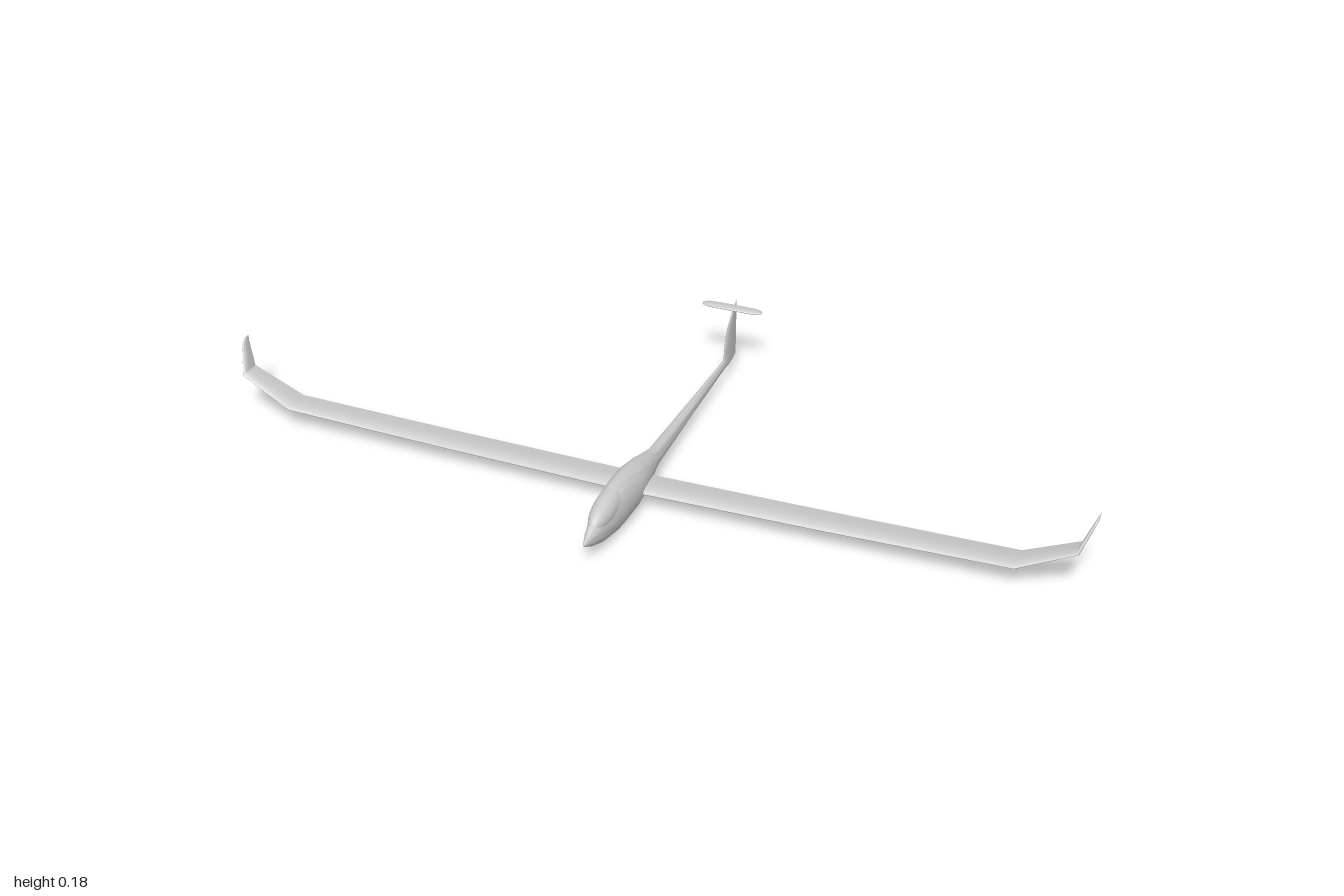
import * as THREE from 'three';
import { toCreasedNormals } from 'three/addons/utils/BufferGeometryUtils.js';

const material = new THREE.MeshStandardMaterial({ color: 0xcccccc });

// Skin over a row of equal-sized rings, closed at both ends
function loft(rings, crease = 0.6) {
  const n = rings[0].length, last = rings.length - 1;
  const points = rings.flat(), index = [];
  for (let i = 0; i < last; i++) {
    for (let j = 0; j < n; j++) {
      const a = i * n + j, b = i * n + (j + 1) % n;
      index.push(a, b, b + n, a, b + n, a + n);
    }
  }
  [0, last].forEach((r) => {
    const centre = new THREE.Vector3();
    rings[r].forEach((p) => centre.addScaledVector(p, 1 / n));
    const c = points.push(centre) - 1;
    for (let j = 0; j < n; j++) {
      const a = r * n + j, b = r * n + (j + 1) % n;
      if (r === 0) index.push(c, b, a);
      else index.push(c, a, b);
    }
  });
  const geometry = new THREE.BufferGeometry().setFromPoints(points);
  geometry.setIndex(index);
  return toCreasedNormals(geometry, crease);
}

// Aerofoil outlines: [chord fraction from the leading edge, relative thickness]
const cambered = [[1, 0], [0.75, 0.45], [0.5, 0.8], [0.28, 1], [0.1, 0.75], [0.02, 0.3],
  [0, 0], [0.02, -0.25], [0.1, -0.5], [0.3, -0.65], [0.65, -0.35]];
const symmetric = [[1, 0], [0.75, 0.5], [0.5, 0.85], [0.28, 1], [0.1, 0.7], [0.02, 0.3],
  [0, 0], [0.02, -0.3], [0.1, -0.7], [0.28, -1], [0.5, -0.85], [0.75, -0.5]];

// One aerofoil ring; bank is the slope of the span in degrees
function foil(outline, [x, y, lead, trail, thick, bank]) {
  const a = THREE.MathUtils.degToRad(bank);
  return outline.map(([s, t]) => new THREE.Vector3(
    x - Math.sin(a) * t * thick, y + Math.cos(a) * t * thick, lead + s * (trail - lead)));
}

// Sections of the left half, continued by their mirror image on the right
function mirrored(half) {
  const right = half.filter(([x]) => x > 0).reverse()
    .map(([x, y, lead, trail, t, bank]) => [-x, y, lead, trail, t, -bank]);
  return [...right, ...half];
}

export function createModel() {
  const model = new THREE.Group();
  model.name = 'glider';
  const add = (name, geometry) => {
    const mesh = new THREE.Mesh(geometry, material);
    mesh.name = name;
    model.add(mesh);
    return mesh;
  };

  // Fuselage pod and tail boom: z, bottom, top, half width
  const stations = [
    [0.463, 0.055, 0.057, 0.001], [0.43, 0.035, 0.073, 0.012], [0.385, 0.016, 0.094, 0.022],
    [0.345, 0.008, 0.103, 0.029], [0.32, 0.003, 0.109, 0.032], [0.295, 0.002, 0.111, 0.034],
    [0.26, 0.002, 0.109, 0.035], [0.23, 0.002, 0.106, 0.036], [0.2, 0.007, 0.103, 0.035],
    [0.15, 0.014, 0.092, 0.029], [0.1, 0.021, 0.077, 0.021], [0.07, 0.024, 0.069, 0.017],
    [-0.15, 0.027, 0.06, 0.011], [-0.375, 0.029, 0.051, 0.006], [-0.42, 0.03, 0.048, 0.002],
  ];
  add('fuselage', loft(stations.map(([z, low, high, w]) =>
    Array.from({ length: 32 }, (_, j) => {
      const a = j / 32 * Math.PI * 2;
      return new THREE.Vector3(
        w * Math.cos(a), (low + high) / 2 - (high - low) / 2 * Math.sin(a), z);
    })), 0.9));

  // Canopy, just proud of the pod
  const canopy = add('canopy', new THREE.SphereGeometry(1, 32, 20));
  canopy.scale.set(0.0265, 0.031, 0.085);
  canopy.position.set(0, 0.078, 0.335);
  canopy.rotation.x = 0.08;

  // Wing with raised outer panels and swept winglets
  const wing = [
    [0, 0.045, 0.221, 0.141, 0.01, 0], [0.45, 0.05, 0.217, 0.141, 0.009, 0.5],
    [0.85, 0.057, 0.212, 0.141, 0.008, 12], [0.973, 0.112, 0.195, 0.141, 0.006, 45],
    [0.996, 0.166, 0.152, 0.122, 0.004, 66], [0.999, 0.175, 0.136, 0.117, 0.002, 66],
  ];
  add('wing', loft(mirrored(wing).map((s) => foil(cambered, s))));

  // Upright tail fin with a curved leading edge: height, leading edge, half thickness
  const fin = [[0.03, -0.375, 0.005], [0.05, -0.378, 0.005], [0.08, -0.383, 0.0045],
    [0.11, -0.391, 0.004], [0.13, -0.403, 0.0035], [0.145, -0.419, 0.003],
    [0.16, -0.437, 0.0025], [0.178, -0.46, 0.001]];
  add('tailFin', loft(fin.map(([y, lead, t]) => foil(symmetric, [0, y, lead, -0.463, t, 90]))));

  // Small round-ended tailplane
  const tailplane = [
    [0, 0.169, -0.418, -0.449, 0.004, 0], [0.055, 0.169, -0.419, -0.448, 0.004, 0],
    [0.067, 0.169, -0.422, -0.445, 0.003, 0], [0.073, 0.169, -0.427, -0.44, 0.002, 0],
    [0.076, 0.169, -0.432, -0.436, 0.0005, 0],
  ];
  add('tailplane', loft(mirrored(tailplane).map((s) => foil(symmetric, s))));

  return model;
}
